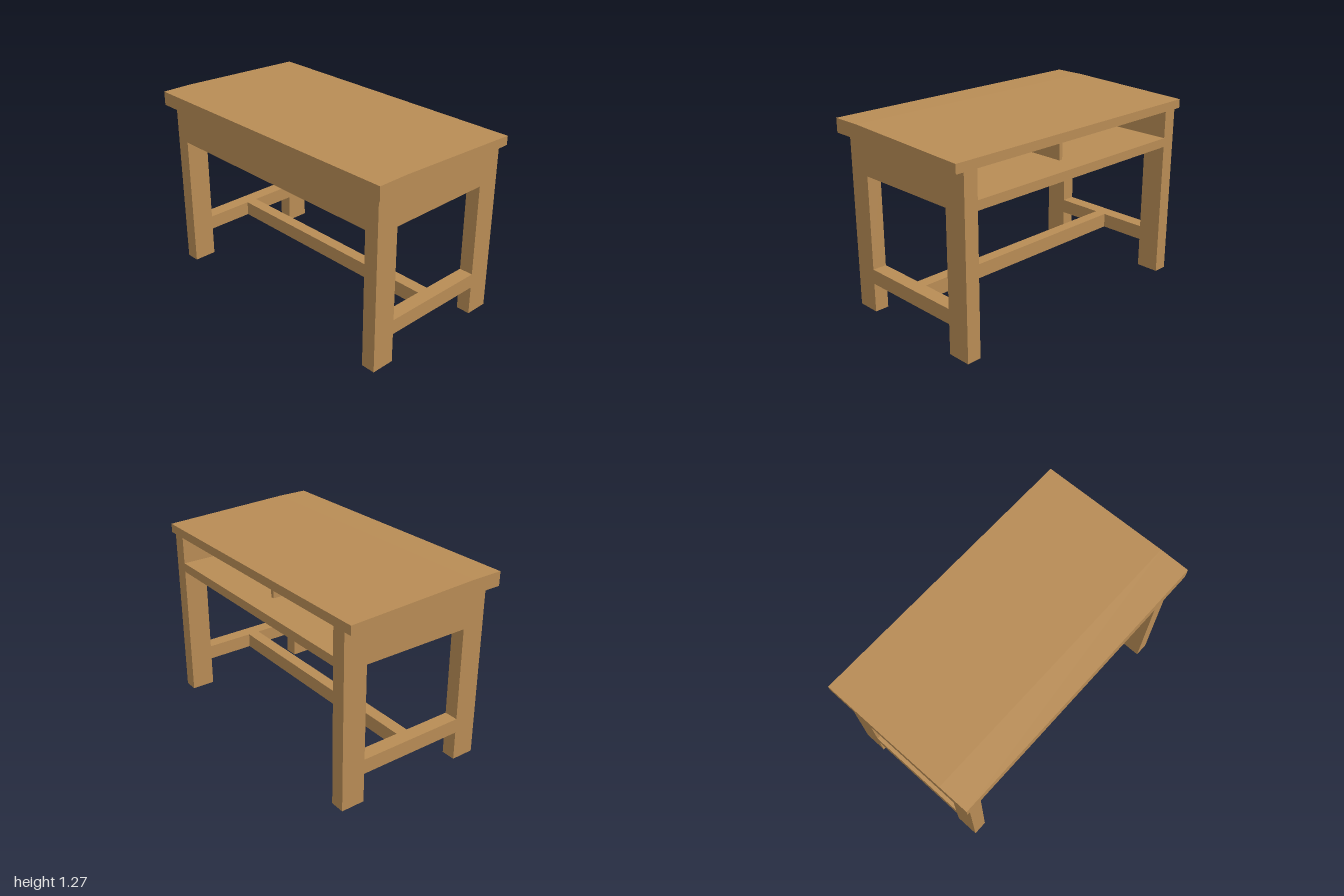
import * as THREE from 'three';

const wood = new THREE.MeshStandardMaterial({ color: 0xb88c55, flatShading: true });

function add(group, name, geometry) {
  const mesh = new THREE.Mesh(geometry, wood);
  mesh.name = name;
  group.add(mesh);
  return mesh;
}

// Box given by its low and high limits on each axis
function slab(group, name, [x0, x1], [y0, y1], [z0, z1]) {
  add(group, name, new THREE.BoxGeometry(x1 - x0, y1 - y0, z1 - z0))
    .position.set((x0 + x1) / 2, (y0 + y1) / 2, (z0 + z1) / 2);
}

const toPoints = (list) => list.map(([x, y]) => new THREE.Vector2(x, y));

// Extrude an x-y outline along z, starting at z0
function profile(outline, z0, depth, hole) {
  const shape = new THREE.Shape(toPoints(outline));
  if (hole) shape.holes.push(new THREE.Path(toPoints(hole)));
  return new THREE.ExtrudeGeometry(shape, { depth, bevelEnabled: false }).translate(0, 0, z0);
}

export function createModel() {
  const desk = new THREE.Group();
  desk.name = 'desk';

  const back = -0.507, front = 0.556;        // outer faces of the legs
  const legBack = -0.348, legFront = 0.395;  // inner faces of the legs
  const inner = 0.848, outer = 0.945;        // end frame limits in z
  const underTop = 1.176;

  // Desktop: flat strip along the back, then a gentle slope
  add(desk, 'desktop', profile([
    [-0.56, underTop], [front, underTop], [front, 1.236], [-0.35, 1.27], [-0.56, 1.27],
  ], -1, 2));

  // End frames: two legs, apron and foot rail in one flush piece
  const outline = [
    [back, 0], [legBack, 0], [legBack, 0.2], [legFront, 0.2],
    [legFront, 0], [front, 0], [front, underTop], [back, underTop],
  ];
  const opening = [[legBack, 0.3], [legBack, 0.93], [legFront, 0.93], [legFront, 0.3]];
  for (const [name, z0] of [['leftEndFrame', inner], ['rightEndFrame', -outer]]) {
    add(desk, name, profile(outline, z0, outer - inner, opening));
  }

  // Storage compartment, open on the +x side
  const span = [-inner, inner];
  slab(desk, 'shelf', [back, front], [0.93, 0.992], span);
  slab(desk, 'backPanel', [back, back + 0.06], [0.992, underTop], span);
  slab(desk, 'divider', [back + 0.06, 0.39], [0.992, underTop], [-0.011, 0.015]);

  // Long stretcher joining the foot rails
  slab(desk, 'stretcher', [-0.018, 0.064], [0.2, 0.3], span);

  return desk;
}
